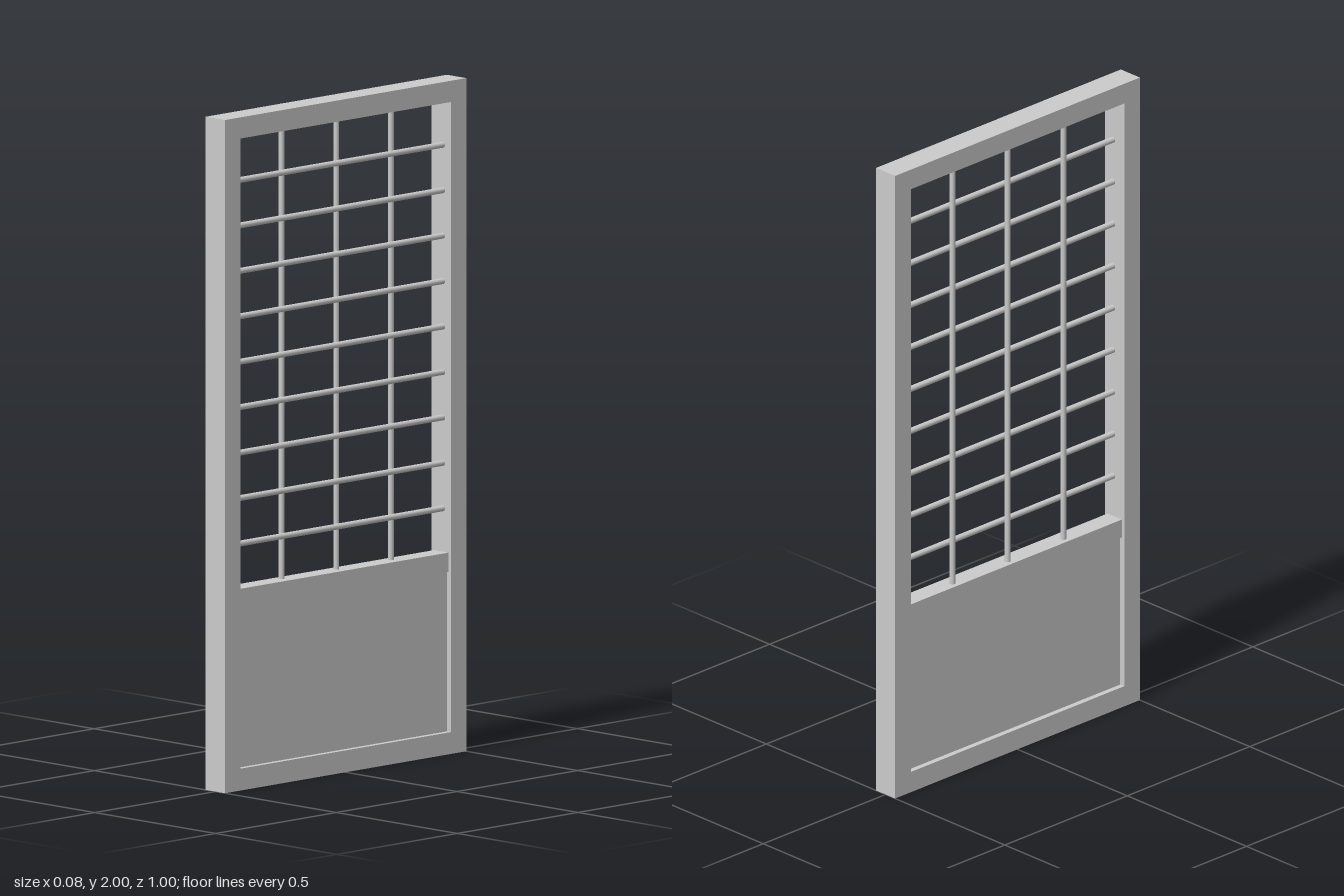
import * as THREE from 'three';

const OPEN_Z = 0.436, OPEN_BOTTOM = 0.065, OPEN_TOP = 1.937;
const RAIL_BOTTOM = 0.54, RAIL_TOP = 0.597;
const BAR_RADIUS = 0.009;

export function createModel() {
  const group = new THREE.Group();
  const material = new THREE.MeshStandardMaterial({ color: 0xcccccc });

  function add(name, geometry, x = 0, y = 0, z = 0) {
    const mesh = new THREE.Mesh(geometry, material);
    mesh.name = name;
    mesh.position.set(x, y, z);
    group.add(mesh);
    return mesh;
  }

  // Outer frame: one slab with a rectangular opening
  const outline = new THREE.Shape([
    new THREE.Vector2(-0.5, 0), new THREE.Vector2(0.5, 0),
    new THREE.Vector2(0.5, 2), new THREE.Vector2(-0.5, 2),
  ]);
  outline.holes.push(new THREE.Path([
    new THREE.Vector2(-OPEN_Z, OPEN_BOTTOM), new THREE.Vector2(-OPEN_Z, OPEN_TOP),
    new THREE.Vector2(OPEN_Z, OPEN_TOP), new THREE.Vector2(OPEN_Z, OPEN_BOTTOM),
  ]));
  const frame = new THREE.ExtrudeGeometry(outline, { depth: 0.08, bevelEnabled: false });
  frame.translate(0, 0, -0.04).rotateY(Math.PI / 2);
  add('frame', frame);

  // Middle rail and recessed lower panel
  add('middleRail', new THREE.BoxGeometry(0.06, RAIL_TOP - RAIL_BOTTOM, OPEN_Z * 2),
    0, (RAIL_TOP + RAIL_BOTTOM) / 2);
  add('lowerPanel', new THREE.BoxGeometry(0.046, RAIL_BOTTOM - OPEN_BOTTOM, OPEN_Z * 2),
    0, (RAIL_BOTTOM + OPEN_BOTTOM) / 2);

  // Horizontal lattice bars, on the +x side of the uprights
  const horizontal = new THREE.CylinderGeometry(BAR_RADIUS, BAR_RADIUS, OPEN_Z * 2, 12);
  horizontal.rotateX(Math.PI / 2);
  for (let i = 0; i < 9; i++) {
    add('horizontalBar' + (i + 1), horizontal, 0.007, 0.726 + i * 0.135);
  }

  // Upright lattice bars
  const upright = new THREE.CylinderGeometry(BAR_RADIUS, BAR_RADIUS, OPEN_TOP - RAIL_TOP, 12);
  [0.219, -0.008, -0.234].forEach((z, i) => {
    add('uprightBar' + (i + 1), upright, -0.007, (OPEN_TOP + RAIL_TOP) / 2, z);
  });

  return group;
}
